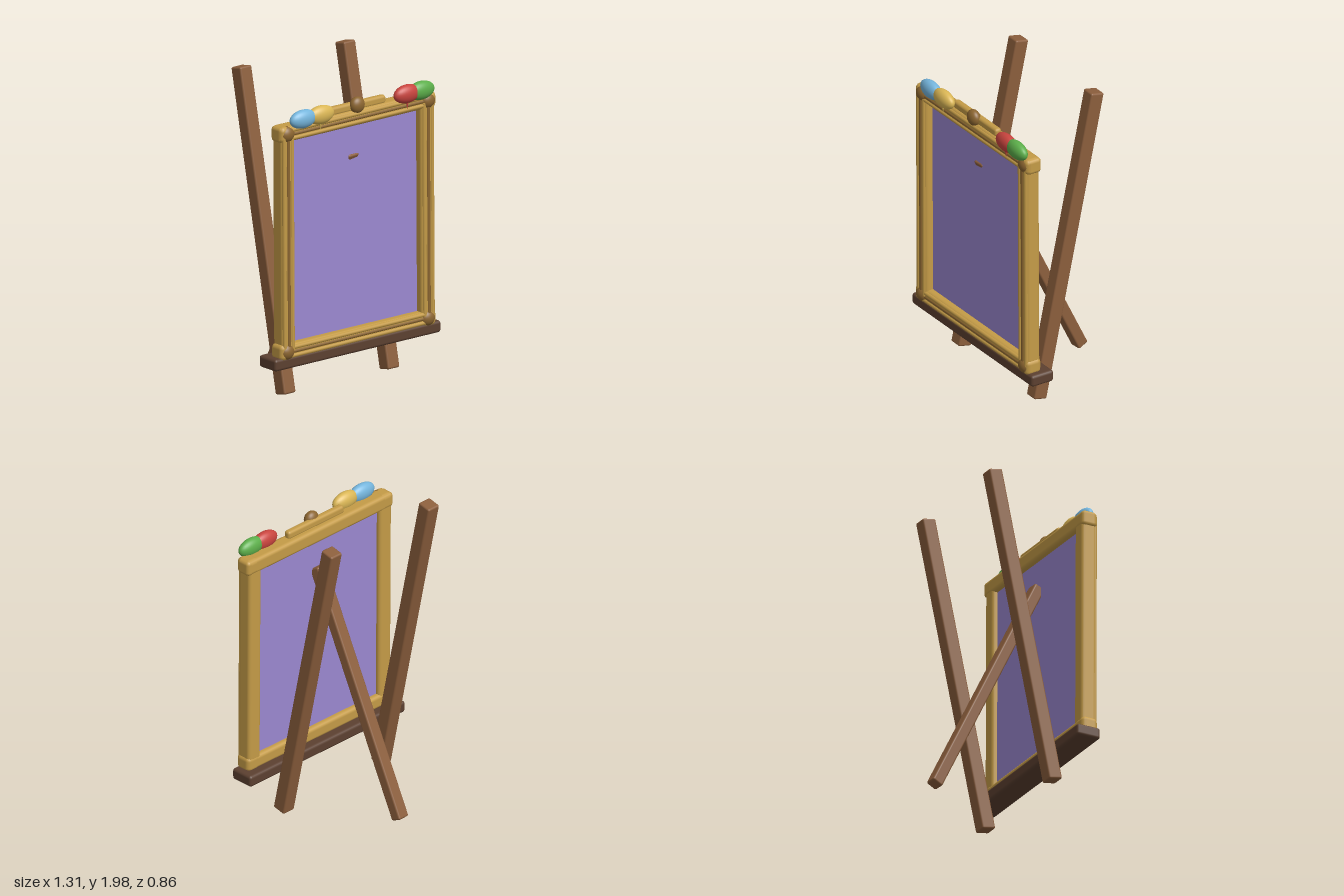
import * as THREE from 'three';
import { RoundedBoxGeometry } from 'three/addons/geometries/RoundedBoxGeometry.js';

const mat = (name, color) => {
  const m = new THREE.MeshStandardMaterial({ color });
  m.name = name;
  return m;
};

export function createModel() {
  const group = new THREE.Group();
  const wood = mat('wood', 0x8b5e3c);
  const darkWood = mat('dark wood', 0x5c4030);
  const gold = mat('gold', 0xc49b47);
  const bronze = mat('bronze', 0x8b6530);
  const violet = mat('violet canvas', 0x9b88d0);
  const blue = mat('blue paint', 0x75b5dc);
  const yellow = mat('yellow paint', 0xdab655);
  const red = mat('red paint', 0xc8443e);
  const green = mat('green paint', 0x5cae4a);

  const add = (name, geometry, material, x, y, z) => {
    const mesh = new THREE.Mesh(geometry, material);
    mesh.name = name;
    mesh.position.set(x, y, z);
    group.add(mesh);
    return mesh;
  };
  const box = (name, material, w, h, d, r, x, y, z) =>
    add(name, new RoundedBoxGeometry(w, h, d, 2, r), material, x, y, z);
  const ellipsoid = (name, material, rx, ry, rz, x, y, z) => {
    const m = add(name, new THREE.SphereGeometry(1, 32, 20), material, x, y, z);
    m.scale.set(rx, ry, rz);
    return m;
  };
  // Leg running between two (y, z) points at a given x
  const leg = (name, x, y0, z0, y1, z1, w, t) => {
    const length = Math.hypot(y1 - y0, z1 - z0);
    const m = box(name, wood, w, length, t, 0.012, x, (y0 + y1) / 2, (z0 + z1) / 2);
    m.rotation.x = Math.atan2(z1 - z0, y1 - y0);
    return m;
  };

  // Legs and tray
  leg('rightLeg', -0.41, 0.02, 0.194, 1.99, -0.224, 0.092, 0.092);
  leg('leftLeg', 0.41, 0.02, 0.194, 1.99, -0.224, 0.092, 0.092);
  const back = leg('backLeg', 0, 0.028, -0.395, 1.497, 0.318, 0.083, 0.074);
  back.rotateY(0.06);
  box('tray', darkWood, 1.31, 0.075, 0.16, 0.018, 0, 0.282, 0.31);

  // Canvas
  box('canvas', violet, 1.04, 1.32, 0.016, 0.003, 0, 1.035, 0.332);

  // Frame rails with rounded ends
  box('topRail', gold, 1.23, 0.1, 0.1, 0.024, 0, 1.724, 0.34);
  box('bottomRail', gold, 1.22, 0.09, 0.1, 0.024, 0, 0.352, 0.34);
  for (const s of [-1, 1]) {
    const side = s < 0 ? 'right' : 'left';
    const stile = box(side + 'Stile', gold, 0.102, 1.4, 0.1, 0.024, s * 0.55, 1.04, 0.343);
    stile.rotation.z = 0.006;

    // Slender beads along the stile
    for (const [x, r, m] of [[0.552, 0.014, bronze], [0.522, 0.014, gold], [0.583, 0.014, gold]]) {
      const bead = add(side + 'StileBead', new THREE.CylinderGeometry(r, r, 1.36, 12), m, s * x, 1.038, 0.386);
      bead.rotation.z = 0.006;
    }
    // Corner blocks and bosses
    for (const y of [0.352, 1.724]) {
      box(side + 'CornerBlock', gold, 0.104, 0.104, 0.11, 0.03, s * 0.562, y, 0.344);
      ellipsoid(side + 'CornerBoss', bronze, 0.056, 0.052, 0.044, s * 0.555, y, 0.368);
    }
  }

  // Beads along the top and bottom rails
  for (const y of [0.352, 1.724]) {
    for (const [dy, r, m] of [[0, 0.012, bronze], [-0.026, 0.014, gold], [0.026, 0.014, gold]]) {
      const bead = add('railBead', new THREE.CylinderGeometry(r, r, 1.06, 12), m, 0, y + dy, 0.383);
      bead.rotation.z = Math.PI / 2 + 0.004;
    }
  }

  // Crest: bar and centre knob
  box('crestBar', gold, 0.47, 0.055, 0.046, 0.018, 0, 1.792, 0.35);
  ellipsoid('crestKnob', bronze, 0.052, 0.052, 0.037, 0, 1.803, 0.376);

  // Paint blobs
  ellipsoid('bluePaint', blue, 0.1, 0.058, 0.043, -0.44, 1.803, 0.391);
  ellipsoid('yellowPaint', yellow, 0.1, 0.058, 0.043, -0.3, 1.803, 0.391);
  ellipsoid('redPaint', red, 0.1, 0.058, 0.043, 0.38, 1.803, 0.391);
  ellipsoid('greenPaint', green, 0.1, 0.058, 0.043, 0.492, 1.803, 0.391);

  // Drips under the blobs
  for (const [x, m] of [[-0.305, yellow], [0.38, red]]) {
    const drip = add('paintDrip', new THREE.ConeGeometry(0.01, 0.06, 12), m, x, 1.733, 0.395);
    drip.rotation.x = Math.PI;
  }
  return group;
}
